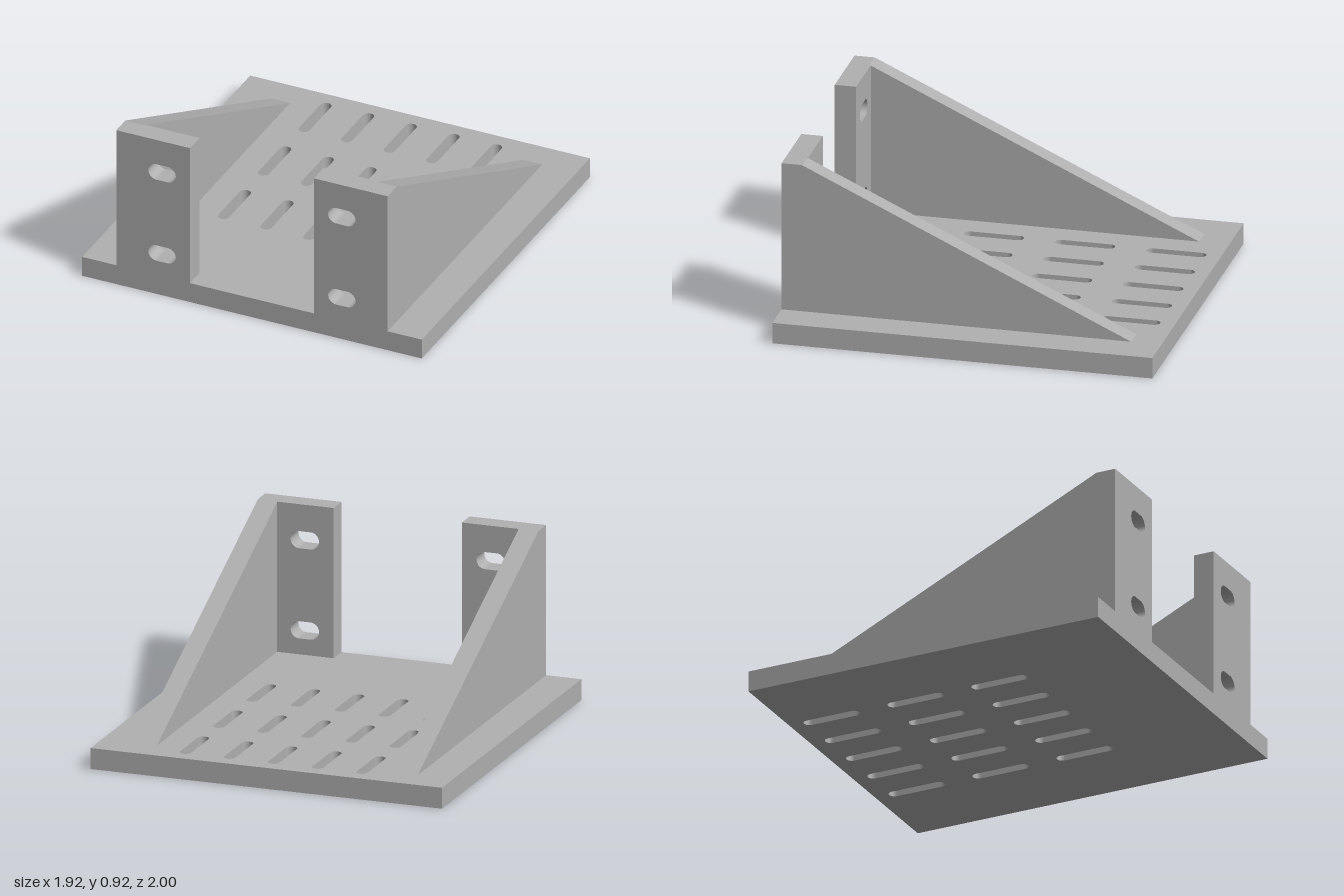
import * as THREE from 'three';

const metal = new THREE.MeshStandardMaterial({ color: 0xb0b0b0 });
metal.name = 'greyMetal';

const BASE_TOP = 0.112, TOP = 0.915;

// Rectangle outline from two corners
function rect(x0, y0, x1, y1) {
  return new THREE.Shape([[x0, y0], [x1, y0], [x1, y1], [x0, y1]].map(p => new THREE.Vector2(...p)));
}

// Round-ended slot centred on (cx, cy); the longer side gets the straight run
function slot(cx, cy, w, h) {
  const r = Math.min(w, h) / 2, dx = w / 2 - r, dy = h / 2 - r;
  const path = new THREE.Path();
  if (dx > dy) {
    path.absarc(cx + dx, cy, r, -Math.PI / 2, Math.PI / 2, false);
    path.absarc(cx - dx, cy, r, Math.PI / 2, Math.PI * 1.5, false);
  } else {
    path.absarc(cx, cy + dy, r, 0, Math.PI, false);
    path.absarc(cx, cy - dy, r, Math.PI, Math.PI * 2, false);
  }
  path.closePath();
  return path;
}

function extrude(shape, depth) {
  return new THREE.ExtrudeGeometry(shape, { depth, bevelEnabled: false, curveSegments: 12 });
}

function part(name, geometry) {
  const mesh = new THREE.Mesh(geometry, metal);
  mesh.name = name;
  return mesh;
}

export function createModel() {
  const model = new THREE.Group();
  model.name = 'mountingBracket';

  // Base plate with a 5 x 3 grid of slots
  const base = rect(-0.96, -1, 0.96, 1);
  for (const z of [-0.765, -0.285, 0.195])
    for (let i = -2; i <= 2; i++) base.holes.push(slot(i * 0.241, -z, 0.06, 0.315));
  model.add(part('basePlate', extrude(base, BASE_TOP).rotateX(-Math.PI / 2)));

  for (const [side, s] of [['left', 1], ['right', -1]]) {
    // Upright front flange with two mounting slots
    const flange = rect(Math.min(s * 0.35, s * 0.66), BASE_TOP, Math.max(s * 0.35, s * 0.66), TOP);
    for (const y of [0.243, 0.725]) flange.holes.push(slot(s * 0.508, y, 0.155, 0.092));
    model.add(part(side + 'Flange', extrude(flange, 0.113).translate(0, 0, 0.887)));

    // Sloping side wall, drawn in z and y
    const wall = new THREE.Shape([[-0.84, BASE_TOP], [1, BASE_TOP], [1, TOP], [0.893, TOP]]
      .map(p => new THREE.Vector2(...p)));
    const geometry = extrude(wall, 0.108).rotateY(-Math.PI / 2);
    model.add(part(side + 'Gusset', geometry.translate(s > 0 ? 0.767 : -0.659, 0, 0)));
  }
  return model;
}
